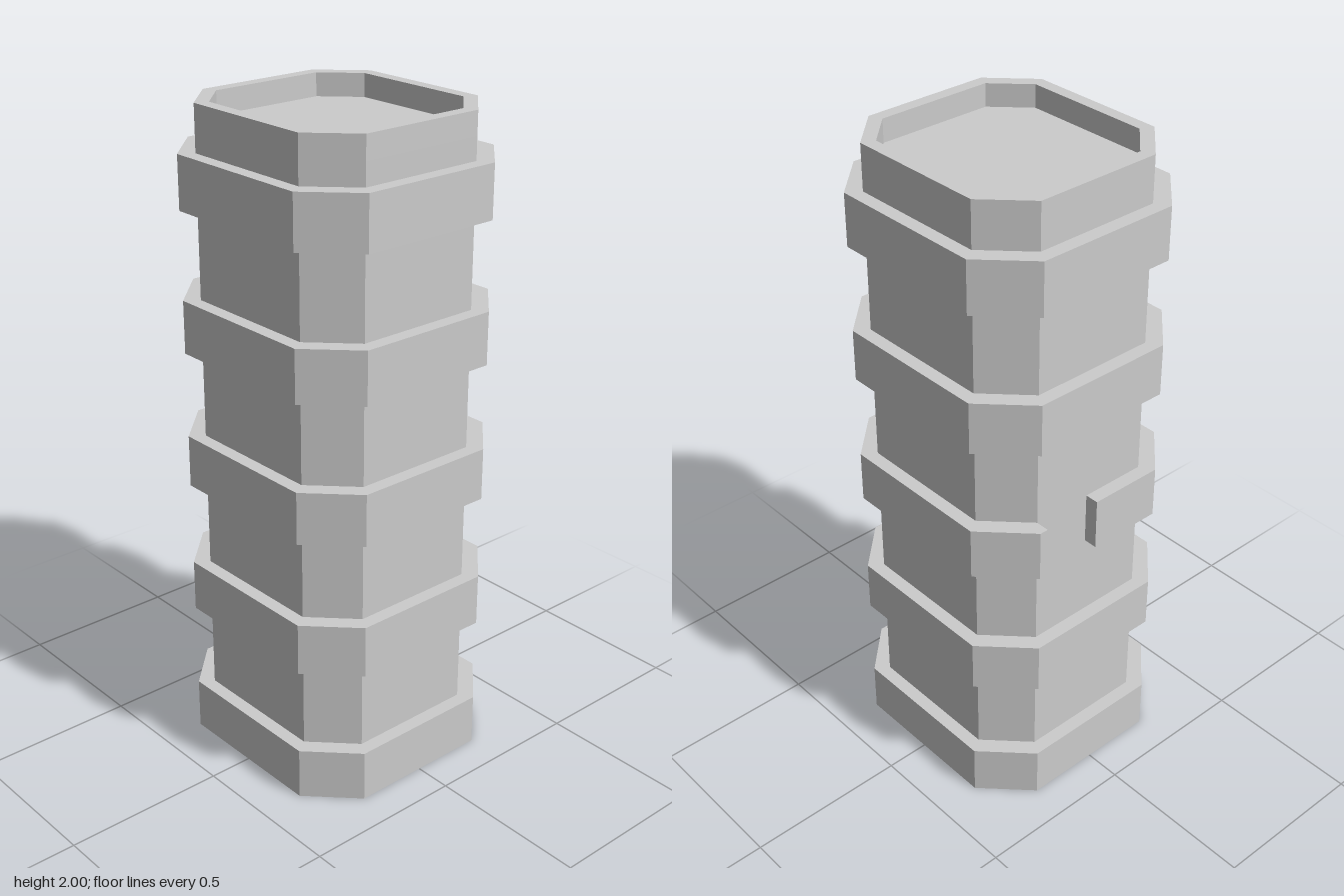
import * as THREE from 'three';

// Octagon corners in plan: half-sizes w (x) and d (z), corner cut c
function octagon(w, d, c) {
  return [
    [w, -(d - c)], [w, d - c], [w - c, d], [-(w - c), d],
    [-w, d - c], [-w, -(d - c)], [-(w - c), -d], [w - c, -d],
  ].map(([x, y]) => new THREE.Vector2(x, y));
}

export function createModel() {
  const group = new THREE.Group();
  const material = new THREE.MeshStandardMaterial({ color: 0xcccccc, flatShading: true });

  // Extrude a plan outline upwards from y0 to y1 (plan y is -z)
  function prism(name, outline, y0, y1, hole) {
    const shape = new THREE.Shape(outline);
    if (hole) shape.holes.push(new THREE.Path(hole));
    const geometry = new THREE.ExtrudeGeometry(shape, { depth: y1 - y0, bevelEnabled: false });
    geometry.rotateX(-Math.PI / 2);
    geometry.translate(0, y0, 0);
    const mesh = new THREE.Mesh(geometry, material);
    mesh.name = name;
    group.add(mesh);
  }

  // Column shaft, with a raised lip around the sunken top
  const shaft = octagon(0.342, 0.322, 0.122);
  const floorY = 1.93;
  prism('shaft', shaft, 0.02, floorY);
  prism('topLip', shaft, floorY, 2, octagon(0.303, 0.283, 0.1));

  // Five projecting bands; the middle one has a chipped notch on one side
  const bandBottoms = [0, 0.43, 0.852, 1.275, 1.7];
  bandBottoms.forEach((y, i) => {
    const outline = octagon(0.385, 0.364, 0.137);
    if (i === 2) {
      const notch = [[-0.385, 0.2], [-0.335, 0.2], [-0.335, 0.01], [-0.385, 0.01]];
      outline.splice(5, 0, ...notch.map(([x, p]) => new THREE.Vector2(x, p)));
    }
    prism('band' + (i + 1), outline, y, y + 0.161);
  });

  return group;
}
